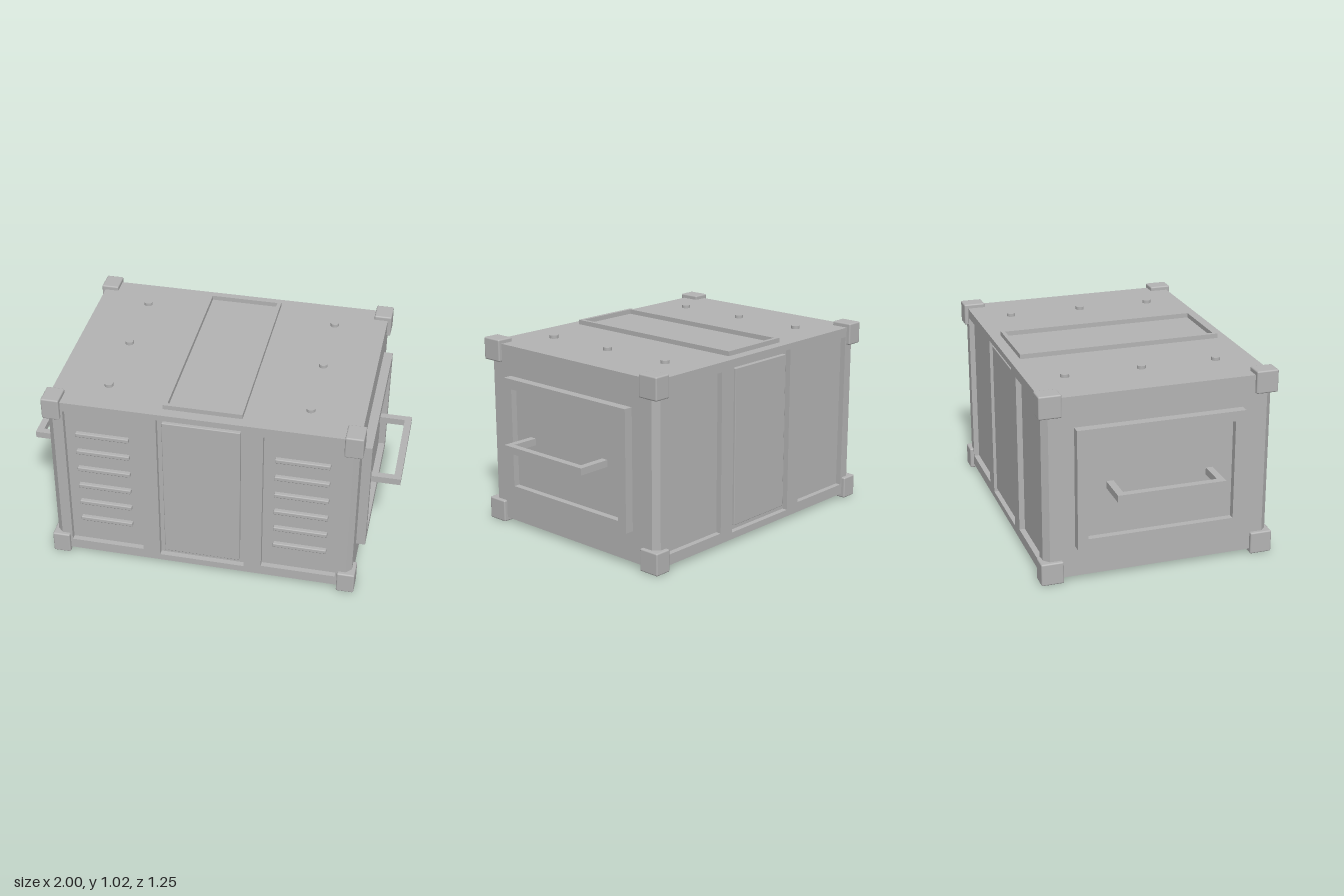
import * as THREE from 'three';
import { RoundedBoxGeometry } from 'three/addons/geometries/RoundedBoxGeometry.js';

const grey = new THREE.MeshStandardMaterial({ color: 0xb3b3b3 });
grey.name = 'metal grey';

// Body extents: half width, half depth, bottom, top, and edge chamfer / recess depth
const HX = 0.805, HZ = 0.605, Y0 = 0.023, Y1 = 0.992, C = 0.03;
const H = Y1 - Y0, MID = (Y0 + Y1) / 2;

function add(parent, name, geometry, x = 0, y = 0, z = 0) {
  const mesh = new THREE.Mesh(geometry, grey);
  mesh.name = name;
  mesh.position.set(x, y, z);
  parent.add(mesh);
  return mesh;
}

function rect(Type, x0, y0, x1, y1) {
  const s = new Type();
  s.moveTo(x0, y0);
  s.lineTo(x1, y0);
  s.lineTo(x1, y1);
  s.lineTo(x0, y1);
  s.closePath();
  return s;
}

// Flat plate with rectangular openings, extruded along +z
function plate(outer, holes, depth) {
  const shape = rect(THREE.Shape, ...outer);
  holes.forEach((h) => shape.holes.push(rect(THREE.Path, ...h)));
  return new THREE.ExtrudeGeometry(shape, { depth, bevelEnabled: false });
}

// Front or back wall, facing +z, with three recesses and a raised centre door
function makeWall(name, louvred) {
  const wall = new THREE.Group();
  wall.name = name;
  add(wall, 'wallSkin', plate([-HX + C, Y0, HX - C, Y1], [
    [-0.72, 0.08, -0.322, 0.94],
    [-0.23, 0.06, 0.23, 0.96],
    [0.322, 0.08, 0.72, 0.94],
  ], C), 0, 0, HZ - C);
  add(wall, 'centreDoor', new RoundedBoxGeometry(0.408, 0.848, 0.04, 1, 0.004), 0, 0.512, HZ - C);
  if (louvred) {
    for (const side of [-1, 1]) {
      for (let i = 0; i < 6; i++) {
        add(wall, 'louvre', new RoundedBoxGeometry(0.284, 0.024, 0.044, 1, 0.005),
          side * 0.523, 0.23 + i * 0.112, HZ - C);
      }
    }
  }
  return wall;
}

// End panel with raised frame and a U-shaped carrying handle, facing +x
function makeEnd(name) {
  const end = new THREE.Group();
  end.name = name;
  const frame = add(end, 'endFrame',
    plate([-0.443, 0.188, 0.443, 0.83], [[-0.388, 0.242, 0.388, 0.776]], 0.048), HX, 0, 0);
  frame.rotation.y = Math.PI / 2;
  add(end, 'endPanel', new THREE.BoxGeometry(0.02, 0.56, 0.8), HX + 0.003, 0.509, 0);

  const u = new THREE.Shape();
  [[0.81, -0.283], [1, -0.283], [1, 0.283], [0.81, 0.283],
    [0.81, 0.246], [0.963, 0.246], [0.963, -0.246], [0.81, -0.246]]
    .forEach(([x, z], i) => (i ? u.lineTo(x, z) : u.moveTo(x, z)));
  const bar = new THREE.ExtrudeGeometry(u, { depth: 0.037, bevelEnabled: false });
  bar.rotateX(Math.PI / 2);
  add(end, 'handle', bar, 0, 0.529, 0);
  return end;
}

export function createModel() {
  const model = new THREE.Group();
  model.name = 'crate';

  // Core and chamfered vertical edges
  add(model, 'bodyCore', new THREE.BoxGeometry(2 * HX, H, 2 * (HZ - C)), 0, MID, 0);
  const tri = new THREE.Shape();
  tri.moveTo(0, 0);
  tri.lineTo(C, 0);
  tri.lineTo(0, C);
  tri.closePath();
  const edge = new THREE.ExtrudeGeometry(tri, { depth: H, bevelEnabled: false });
  edge.rotateX(-Math.PI / 2);
  edge.translate(0, -H / 2, 0);
  // The right-angled corner points to +x, -z; quarter turns place it at each body edge
  [[1, -1, 0], [-1, -1, 1], [-1, 1, 2], [1, 1, 3]].forEach(([sx, sz, turn]) => {
    add(model, 'edgeChamfer', edge, sx * (HX - C), MID, sz * (HZ - C)).rotation.y = turn * Math.PI / 2;
  });

  // Walls and ends
  model.add(makeWall('frontWall', true));
  const back = makeWall('backWall', false);
  back.rotation.y = Math.PI;
  model.add(back, makeEnd('leftEnd'));
  const right = makeEnd('rightEnd');
  right.rotation.y = Math.PI;
  model.add(right);

  // Corner blocks
  const block = new RoundedBoxGeometry(0.094, 0.12, 0.118, 2, 0.008);
  for (const x of [-0.778, 0.778])
    for (const y of [0.06, 0.955])
      for (const z of [-0.567, 0.567]) add(model, 'cornerBlock', block, x, y, z);

  // Lid frame and bolts
  const lid = plate([-0.205, -0.548, 0.205, 0.548], [[-0.184, -0.527, 0.184, 0.527]], 0.026);
  lid.rotateX(-Math.PI / 2);
  add(model, 'lidFrame', lid, 0, Y1 - 0.001, 0);
  const bolt = new THREE.CylinderGeometry(0.023, 0.023, 0.03, 16);
  for (const x of [-0.526, 0.526])
    for (const z of [-0.405, 0, 0.405]) add(model, 'bolt', bolt, x, 0.994, z);

  return model;
}
